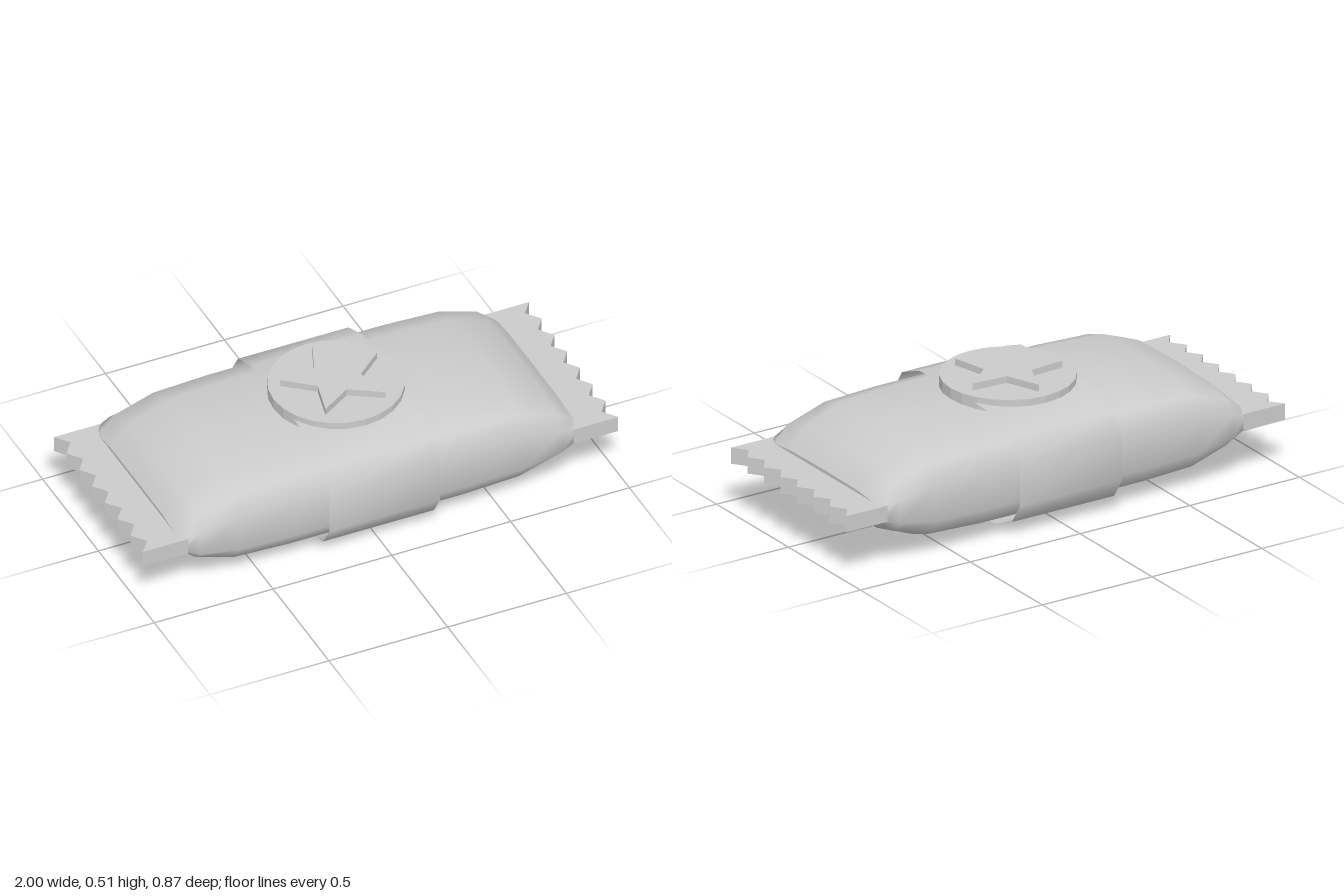
import * as THREE from 'three';

const MID = 0.235; // height of the wrapper's centre line
const material = new THREE.MeshStandardMaterial({ color: 0xcccccc });
const openMaterial = new THREE.MeshStandardMaterial({ color: 0xcccccc, side: THREE.DoubleSide });

// Pillow cross-section as [z, y], one quarter mirrored into a closed loop
const quarter = [[0, 0.209], [0.25, 0.198], [0.363, 0.155], [0.415, 0.08]];
const half = [...quarter, ...quarter.slice().reverse().map(([z, y]) => [z, -y])];
const section = [...half, ...half.slice(1, -1).reverse().map(([z, y]) => [-z, y])];

// Skins the cross-section along x; each station is [x, zScale, yScale]
function loft(stations, capped) {
  const n = section.length, pos = [], index = [];
  const ring = ([x, sz, sy]) => section.forEach(([z, y]) => pos.push(x, y * sy, z * sz));
  stations.forEach(ring);
  for (let i = 0; i < stations.length - 1; i++) {
    for (let j = 0; j < n; j++) {
      const a = i * n + j, b = i * n + (j + 1) % n;
      index.push(a, b, a + n, b, b + n, a + n);
    }
  }
  if (capped) {
    // Flat ends with their own vertices, so the rim stays sharp
    [stations[0], stations[stations.length - 1]].forEach((s, end) => {
      const start = pos.length / 3;
      ring(s);
      for (let j = 1; j < n - 1; j++) {
        if (end) index.push(start, start + j, start + j + 1);
        else index.push(start, start + j + 1, start + j);
      }
    });
  }
  const geo = new THREE.BufferGeometry();
  geo.setAttribute('position', new THREE.Float32BufferAttribute(pos, 3));
  geo.setIndex(index);
  geo.computeVertexNormals();
  return geo;
}

// Extrudes an outline of [x, z] points downwards from y = 0
function slab(points, depth) {
  const shape = new THREE.Shape(points.map(([x, z]) => new THREE.Vector2(x, z)));
  return new THREE.ExtrudeGeometry(shape, { depth, bevelEnabled: false }).rotateX(Math.PI / 2);
}

export function createModel() {
  const group = new THREE.Group();
  const add = (name, geo, y, mat = material) => {
    const mesh = new THREE.Mesh(geo, mat);
    mesh.name = name;
    mesh.position.y = y;
    group.add(mesh);
    return mesh;
  };

  // Puffed wrapper, tapering to the sealed ends
  const right = [[0, 1, 1], [0.37, 1, 0.995], [0.6, 0.995, 0.935], [0.76, 0.985, 0.62], [0.82, 0.96, 0.33], [0.84, 0.92, 0.235]];
  const left = right.slice(1).reverse().map(([x, sz, sy]) => [-x, sz, sy]);
  add('wrapperBody', loft([...left, ...right], true), MID);

  // Open sleeve around the middle
  const sleeve = (x) => [x, 1.053, MID / 0.209];
  add('sleeveBand', loft([sleeve(-0.233), sleeve(0.233)], false), MID, openMaterial);

  // Crimped seals with zigzag edges
  const outline = [[0.8, -0.4]];
  for (let i = 0; i <= 14; i++) outline.push([i % 2 ? 0.957 : 1, -0.4 + i * 0.8 / 14]);
  outline.push([0.8, 0.4]);
  const crimp = slab(outline, 0.067);
  add('leftCrimp', crimp, 0.27);
  add('rightCrimp', crimp, 0.27).rotation.y = Math.PI;

  // Round badge with a raised star
  const badgeMaterial = material.clone();
  badgeMaterial.flatShading = true;
  add('badge', new THREE.CylinderGeometry(0.263, 0.263, 0.054, 24), 0.46, badgeMaterial);
  const star = [];
  for (let i = 0; i < 10; i++) {
    const r = i % 2 ? 0.095 : 0.215, a = i * Math.PI / 5;
    star.push([r * Math.sin(a), -r * Math.cos(a)]);
  }
  add('star', slab(star, 0.03), 0.515);

  return group;
}
